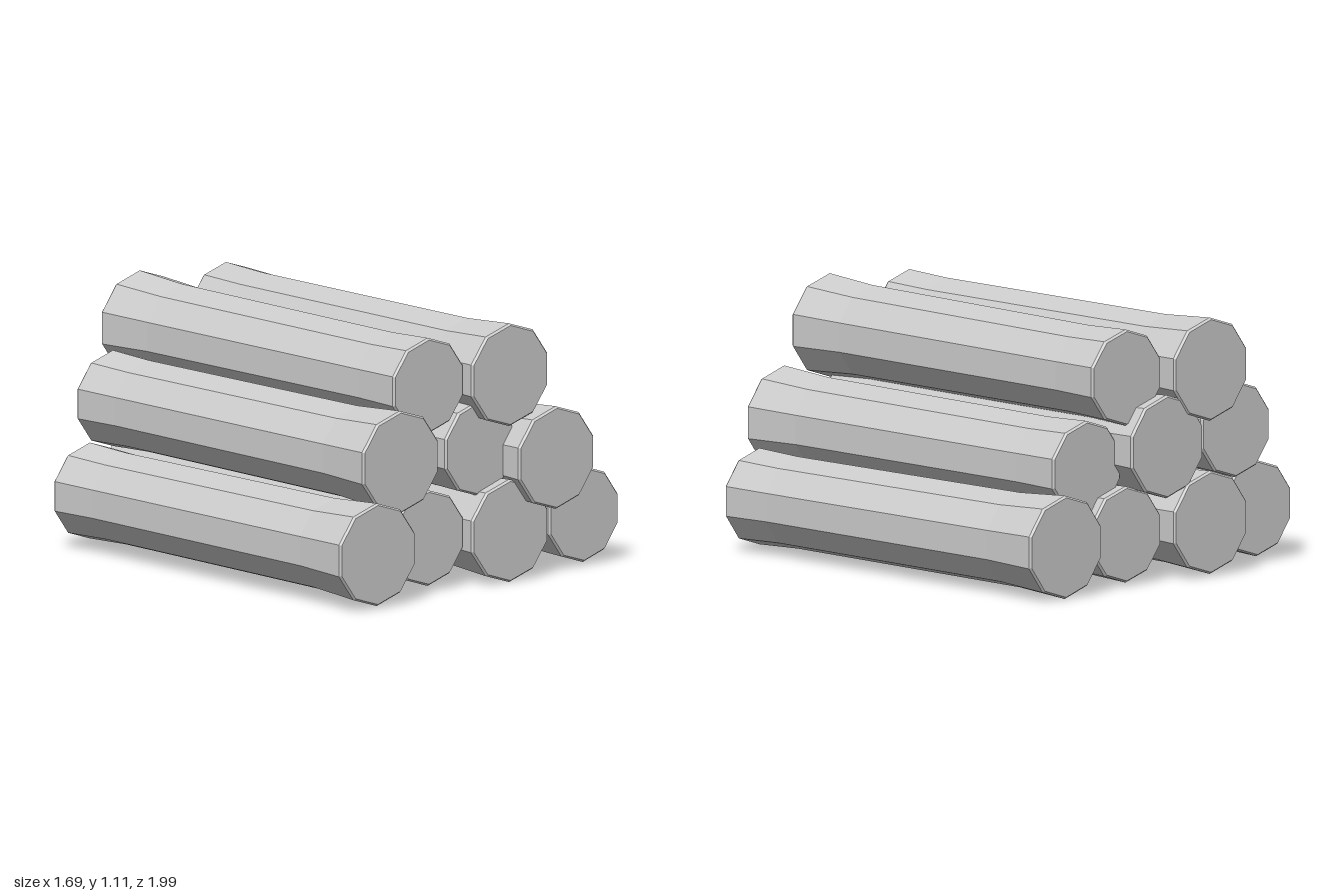
import * as THREE from 'three';

const LENGTH = 1.86;

// Ten-sided log along z, with a wide root end and a slimmer top end
function logGeometry(wideAtFront) {
  const profile = [
    [0, 0], [0.197, 0], [0.205, 0.01], [0.196, 0.24],
    [0.202, 1.58], [0.22, 1.85], [0.212, LENGTH], [0, LENGTH],
  ].map(([r, y]) => new THREE.Vector2(r, y - LENGTH / 2));
  const geometry = new THREE.LatheGeometry(profile, 10);
  geometry.rotateX(wideAtFront ? Math.PI / 2 : -Math.PI / 2);
  return geometry;
}

export function createModel() {
  const group = new THREE.Group();
  group.name = 'logPile';
  const material = new THREE.MeshStandardMaterial({ color: 0xcccccc, flatShading: true });
  const wideFront = logGeometry(true);
  const wideBack = logGeometry(false);

  // name, x at front end, x at back end, height, middle z, wide end at front
  const logs = [
    // bottom row
    ['bottomLogFarRight', -0.637, -0.6, 0.236, 0.06, true],
    ['bottomLogRight', -0.236, -0.205, 0.236, -0.065, false],
    ['bottomLogLeft', 0.162, 0.22, 0.225, 0.005, true],
    ['bottomLogFarLeft', 0.633, 0.635, 0.225, -0.055, false],
    // middle row
    ['middleLogRight', -0.457, -0.42, 0.6, 0.005, true],
    ['middleLogCentre', 0.045, 0.04, 0.585, -0.055, false],
    ['middleLogLeft', 0.375, 0.4, 0.518, 0.06, true],
    // top row
    ['topLogRight', -0.236, -0.205, 0.888, -0.065, false],
    ['topLogLeft', 0.162, 0.22, 0.893, 0.005, true],
  ];

  for (const [name, frontX, backX, y, z, wideAtFront] of logs) {
    const log = new THREE.Mesh(wideAtFront ? wideFront : wideBack, material);
    log.name = name;
    log.position.set((frontX + backX) / 2, y, z);
    log.rotation.y = Math.atan2(frontX - backX, LENGTH);
    group.add(log);
  }
  return group;
}
